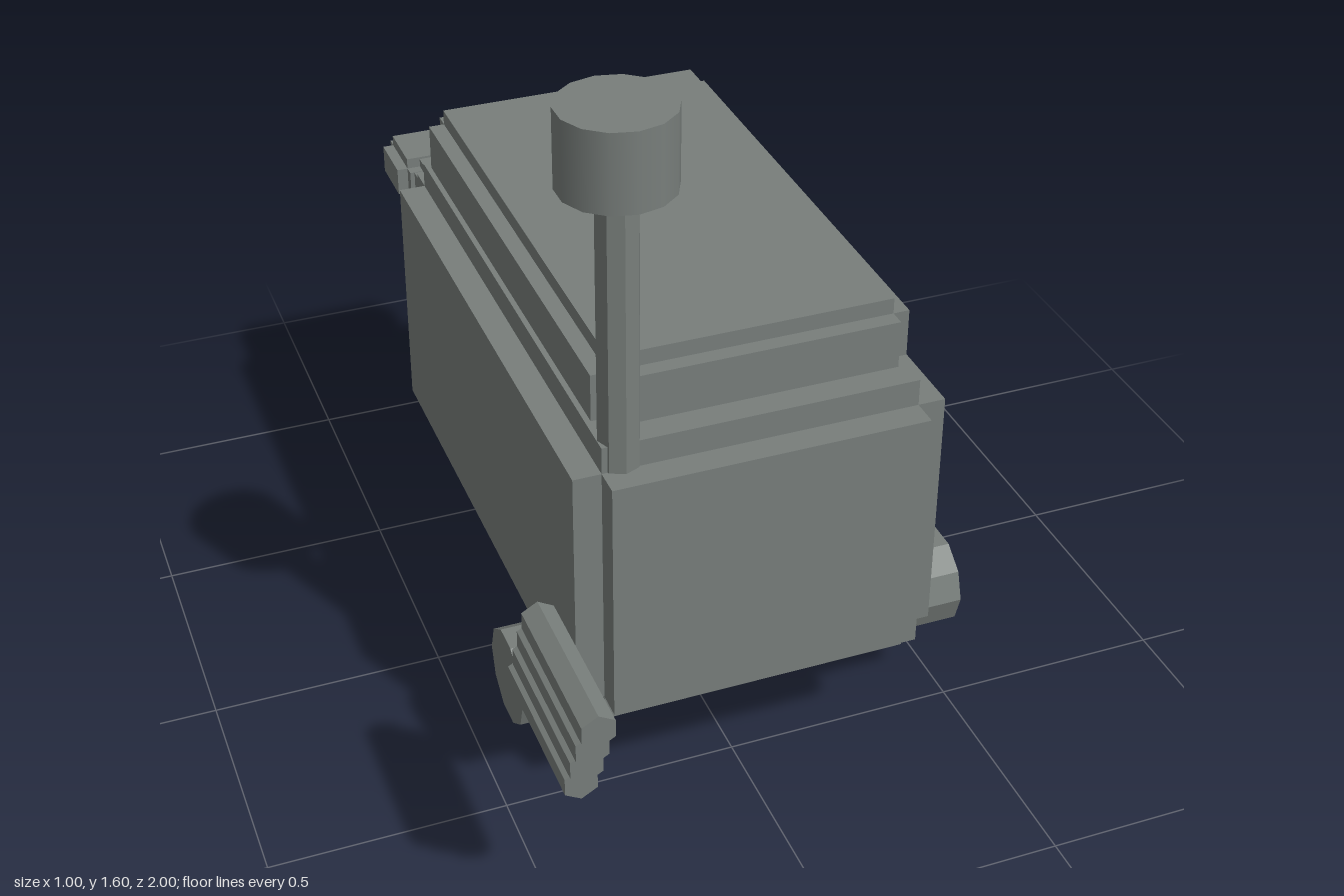
import * as THREE from 'three';

const color = 0x787e7b;
const smooth = new THREE.MeshStandardMaterial({ color });
const faceted = new THREE.MeshStandardMaterial({ color, flatShading: true });

// Box with stepped edges: three boxes, each reaching full size along one axis
function steppedBox(name, [x0, x1], [y0, y1], [z0, z1], step) {
  const group = new THREE.Group();
  group.name = name;
  const size = [x1 - x0, y1 - y0, z1 - z0];
  for (let axis = 0; axis < 3; axis++) {
    const s = size.map((v, i) => (i === axis ? v : v - 2 * step));
    const mesh = new THREE.Mesh(new THREE.BoxGeometry(...s), faceted);
    mesh.name = name + ['Sides', 'TopAndBottom', 'Ends'][axis];
    group.add(mesh);
  }
  group.position.set((x0 + x1) / 2, (y0 + y1) / 2, (z0 + z1) / 2);
  return group;
}

// Cylinder along an axis, running from one coordinate to another;
// a and b are the remaining two coordinates in x, y, z order
function rod(name, axis, radius, from, to, a, b, sides, material = smooth, turn = 0) {
  const geo = new THREE.CylinderGeometry(radius, radius, Math.abs(to - from), sides);
  geo.rotateY(turn);
  if (axis === 'x') geo.rotateZ(Math.PI / 2);
  if (axis === 'z') geo.rotateX(Math.PI / 2);
  const mesh = new THREE.Mesh(geo, material);
  const mid = (from + to) / 2;
  if (axis === 'x') mesh.position.set(mid, a, b);
  if (axis === 'y') mesh.position.set(a, mid, b);
  if (axis === 'z') mesh.position.set(a, b, mid);
  mesh.name = name;
  return mesh;
}

export function createModel() {
  const model = new THREE.Group();
  model.name = 'machine';

  // Main housing and raised lid
  model.add(steppedBox('body', [-0.37, 0.402], [0.243, 0.902], [-0.673, 0.638], 0.058));
  model.add(steppedBox('lid', [-0.31, 0.344], [0.888, 1.058], [-0.587, 0.55], 0.034));

  // Mast with round head
  model.add(rod('mastPole', 'y', 0.043, 0.8, 1.44, -0.268, 0.553, 8, faceted));
  model.add(rod('mastHead', 'y', 0.113, 1.437, 1.597, -0.268, 0.555, 14));

  // Side knobs
  model.add(rod('leftKnob', 'x', 0.102, 0.33, 0.5, 0.286, 0.437, 10, faceted));
  model.add(rod('rightKnob', 'x', 0.102, -0.47, -0.3, 0.286, 0.437, 10, faceted));

  // Row of staggered hexagonal rods beside the right front corner
  for (let i = 0; i < 4; i++) {
    const front = 1 - i * 0.034;
    model.add(rod('frontRod' + (i + 1), 'z', 0.037, front - 0.34, front, -0.47, 0.609 - i * 0.07, 6, faceted));
  }

  // Exhaust pipe under the body
  model.add(rod('exhaustPipe', 'z', 0.136, -0.9, 0.1, 0.131, 0.171, 14));
  model.add(rod('exhaustCap', 'z', 0.17, -1, -0.885, 0.131, 0.17, 14));

  // Round port on the back
  model.add(rod('rearPort', 'z', 0.183, -0.77, -0.612, 0.289, 0.629, 14, smooth, Math.PI / 2));
  model.add(rod('rearPortRim', 'z', 0.15, -0.822, -0.765, 0.289, 0.629, 14, smooth, Math.PI / 2));

  // Rear hatch with overhanging hood
  model.add(steppedBox('rearHatch', [-0.31, 0.022], [0.46, 0.85], [-0.755, -0.637], 0.02));
  model.add(steppedBox('rearHood', [-0.344, 0.056], [0.744, 0.855], [-0.88, -0.708], 0.024));

  return model;
}
